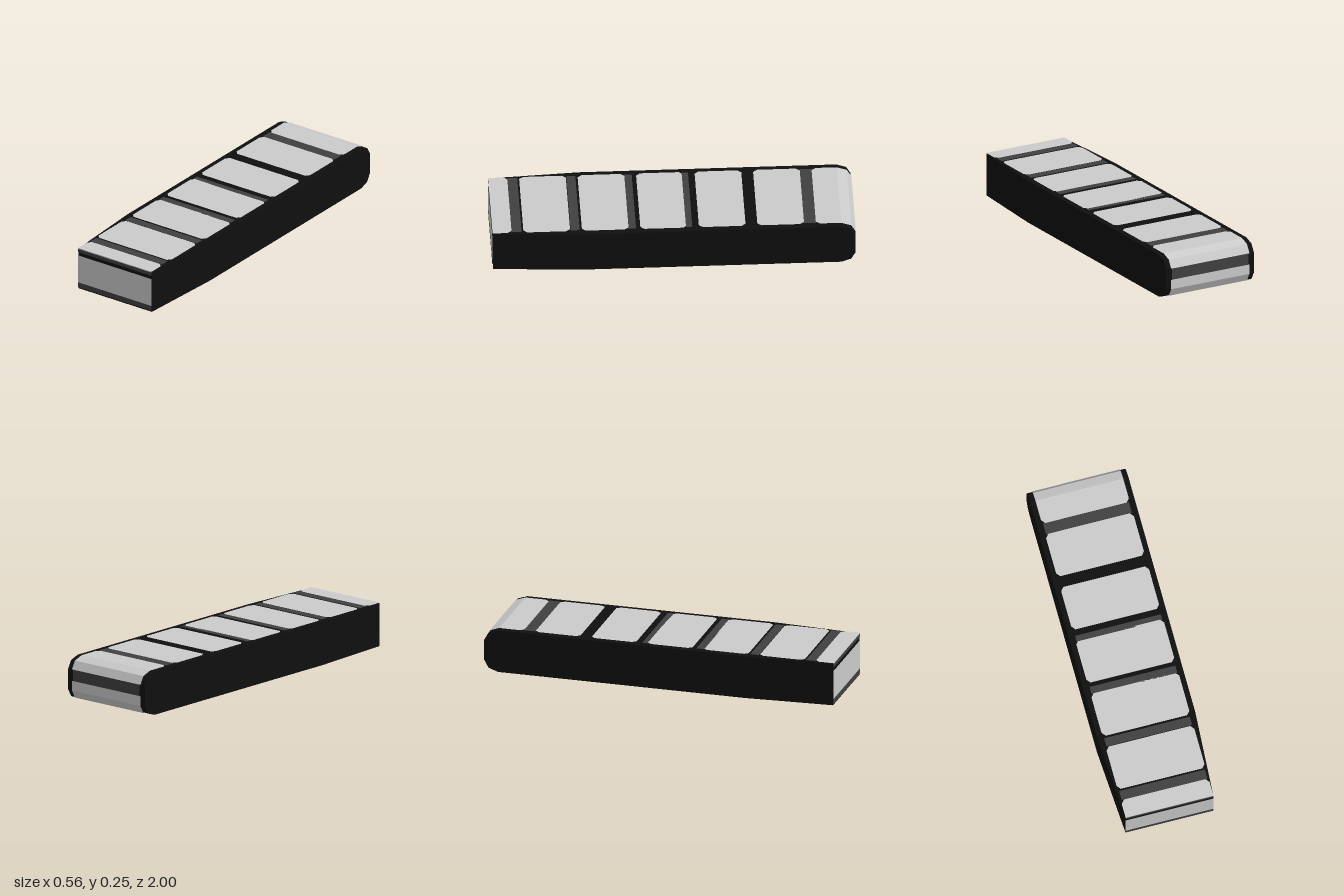
import * as THREE from 'three';

const black = new THREE.MeshStandardMaterial({ color: 0x0f0f0f });
black.name = 'black rubber';
const dark = new THREE.MeshStandardMaterial({ color: 0x404040 });
dark.name = 'dark grey gap';
const light = new THREE.MeshStandardMaterial({ color: 0xcbcbcb });
light.name = 'light grey plate';

function meshFrom(positions, material, name) {
  const geo = new THREE.BufferGeometry();
  geo.setAttribute('position', new THREE.Float32BufferAttribute(positions, 3));
  geo.computeVertexNormals(); // unshared corners give flat faces
  const mesh = new THREE.Mesh(geo, material);
  mesh.name = name;
  return mesh;
}

const quad = (out, a, b, c, d) => out.push(...a, ...b, ...c, ...a, ...c, ...d);

// Ribbon across the track; path points are [z, y, halfWidth],
// running up the back, forward over the top, down the front, back underneath.
function strip(path, material, name) {
  const out = [];
  for (let i = 0; i < path.length - 1; i++) {
    const [az, ay, aw] = path[i];
    const [bz, by, bw] = path[i + 1];
    quad(out, [-aw, ay, az], [-bw, by, bz], [bw, by, bz], [aw, ay, az]);
  }
  return meshFrom(out, material, name);
}

// Body lofted from rectangular sections [z, bottom, top, halfWidth]
function trackBody() {
  const sections = [
    [-0.997, 0.066, 0.184, 0.28],
    [-0.972, 0.022, 0.228, 0.28],
    [-0.918, 0.003, 0.247, 0.28],
    [0.5, 0.003, 0.247, 0.28],
    [0.997, 0.003, 0.247, 0.25],
  ].map(([z, b, t, w]) => [[-w, b, z], [w, b, z], [w, t, z], [-w, t, z]]);
  const out = [];
  for (let i = 0; i < sections.length - 1; i++) {
    const p = sections[i], q = sections[i + 1];
    for (let k = 0; k < 4; k++) {
      const n = (k + 1) % 4;
      quad(out, p[k], p[n], q[n], q[k]);
    }
  }
  const first = sections[0], last = sections[sections.length - 1];
  quad(out, first[3], first[2], first[1], first[0]);
  quad(out, last[0], last[1], last[2], last[3]);
  return meshFrom(out, black, 'trackBody');
}

export function createModel() {
  const group = new THREE.Group();
  group.name = 'trackUnit';
  group.add(trackBody());

  const W = 0.25;      // half width of a plate
  const N = 0.232;     // half width at its clipped corners
  const G = 0.244;     // half width of a gap
  const C = 0.022;     // corner clip length
  const pitch = 0.322;
  const H = 0.25;
  const add = (path, mat, name) => group.add(strip(path, mat, name));

  // Gaps on top: start and end of the grey part, the rest stays black
  const topGaps = [[-0.78, -0.715], null, [-0.1, -0.065], [0.21, 0.255], [0.52, 0.57], [0.84, 0.895]];
  for (const gap of topGaps) {
    if (gap) add([[gap[0], H, G], [gap[1], H, G]], dark, 'topGap');
  }

  // Five matching plates above and below
  for (let i = 0; i < 5; i++) {
    const a = -0.715 + i * pitch, b = a + pitch - 0.065;
    add([[a, H, N], [a + C, H, W], [b - C, H, W], [b, H, N]], light, 'topPlate');
    const c = -0.765 + i * pitch, d = c + pitch - 0.065;
    add([[d, 0, N], [d - C, 0, W], [c + C, 0, W], [c, 0, N]], light, 'bottomPlate');
  }
  for (let i = 0; i < 6; i++) {
    const z = -0.83 + i * pitch;
    add([[z + 0.065, 0, G], [z, 0, G]], dark, 'bottomGap');
  }

  // Plates wrapping the faceted back end
  add([[-1, 0.185, W], [-0.975, 0.23, W], [-0.92, H, W], [-0.78 - C, H, W], [-0.78, H, N]], light, 'upperBackPlate');
  add([[-1, 0.12, G], [-1, 0.185, G]], dark, 'backGap');
  add([[-0.83, 0, N], [-0.83 - C, 0, W], [-0.92, 0, W], [-0.975, 0.02, W], [-1, 0.065, W], [-1, 0.12, W]], light, 'lowerBackPlate');

  // Square front end
  add([[0.895, H, N], [0.895 + C, H, W], [1, H, W], [1, 0.245, W]], light, 'upperFrontPlate');
  add([[1, 0.245, W], [1, 0.225, W]], dark, 'upperFrontGap');
  add([[1, 0.205, W], [1, 0.04, W]], light, 'frontPlate');
  add([[1, 0.04, W], [1, 0.01, W]], dark, 'lowerFrontGap');
  add([[1, 0, W], [0.845 + C, 0, W], [0.845, 0, N]], light, 'lowerFrontPlate');

  return group;
}
